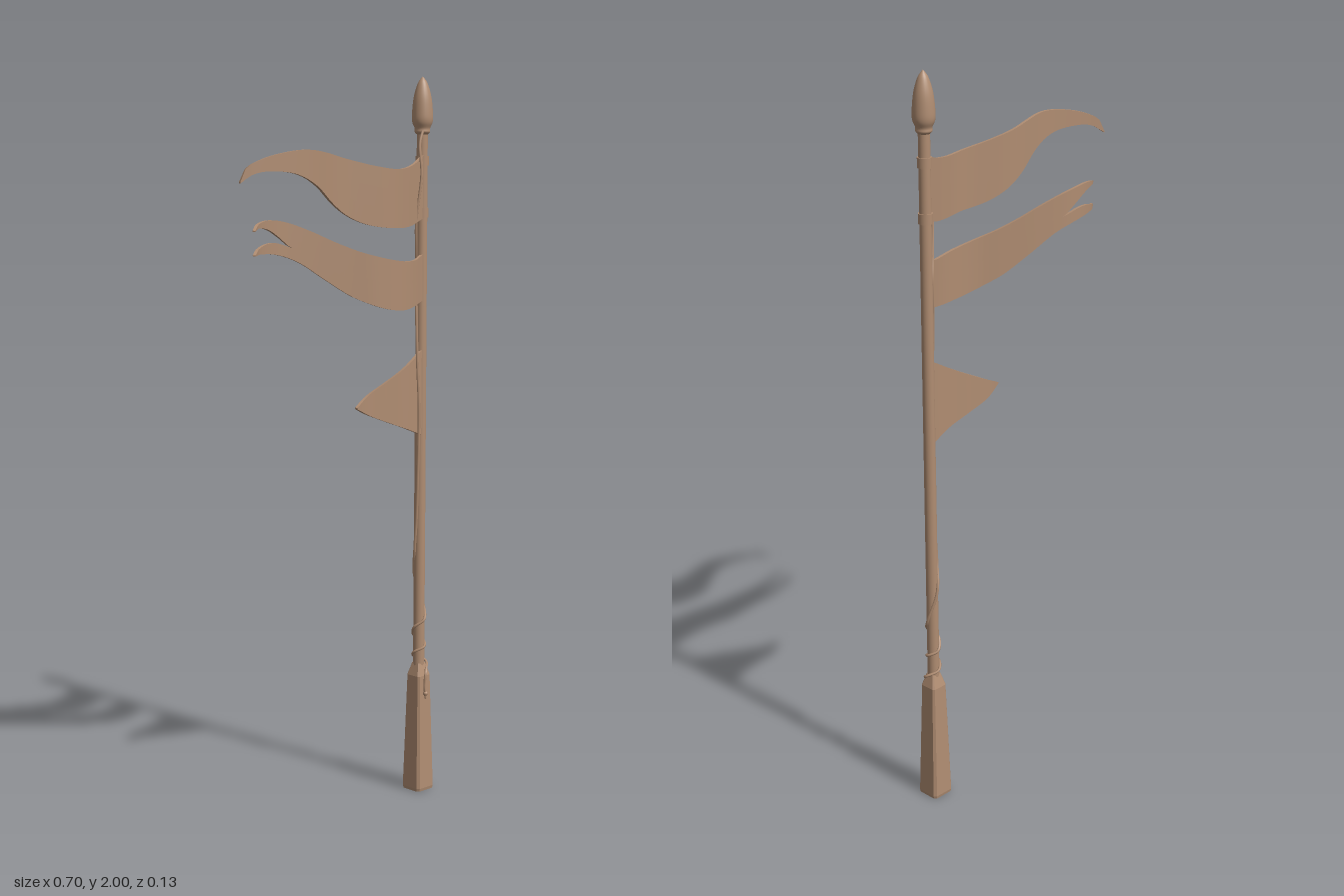
import * as THREE from 'three';
import { ConvexGeometry } from 'three/addons/geometries/ConvexGeometry.js';

const PX = 0.313, PZ = -0.004; // axis of the pole

// Smooth height curve through [x, value] points sorted by x
function at(pts, x) {
  let i = 0;
  while (i < pts.length - 2 && x > pts[i + 1][0]) i++;
  const slope = (k) => {
    const a = pts[Math.max(k - 1, 0)], b = pts[Math.min(k + 1, pts.length - 1)];
    return (b[1] - a[1]) / (b[0] - a[0]);
  };
  const [x0, y0] = pts[i], [x1, y1] = pts[i + 1];
  const d = x1 - x0, t = THREE.MathUtils.clamp((x - x0) / d, 0, 1), t2 = t * t, t3 = t2 * t;
  return (2 * t3 - 3 * t2 + 1) * y0 + (t3 - 2 * t2 + t) * d * slope(i)
    + (3 * t2 - 2 * t3) * y1 + (t3 - t2) * d * slope(i + 1);
}

// Thin cloth between a top and a bottom edge, waving in z along x
function cloth(top, bottom, wave, thickness = 0.008) {
  const geo = new THREE.BoxGeometry(1, 1, 1, 48, 3, 1), p = geo.attributes.position;
  const xa = top[0][0], xb = top[top.length - 1][0];
  for (let i = 0; i < p.count; i++) {
    const x = xa + (p.getX(i) + 0.5) * (xb - xa);
    const lo = at(bottom, x), hi = at(top, x);
    const s = (at(wave, x + 0.004) - at(wave, x - 0.004)) / 0.008, n = Math.hypot(1, s);
    const off = p.getZ(i) * thickness;
    p.setXYZ(i, x - off * s / n, lo + (p.getY(i) + 0.5) * (hi - lo), at(wave, x) + off / n);
  }
  geo.computeVertexNormals();
  return geo;
}

export function createModel() {
  const root = new THREE.Group();
  const mat = new THREE.MeshStandardMaterial({ color: 0xb08d72 });
  const add = (name, geo, parent = root) => {
    const m = new THREE.Mesh(geo, mat);
    m.name = name;
    parent.add(m);
    return m;
  };

  // Square tapered handle with chamfered corners
  const corners = [];
  for (const [y, h] of [[0, 0.032], [0.008, 0.0335], [0.335, 0.0245], [0.37, 0.014]])
    for (const sx of [-1, 1]) for (const sz of [-1, 1])
      for (const [a, b] of [[1, 0.8], [0.8, 1]])
        corners.push(new THREE.Vector3(PX + sx * h * a, y, PZ + sz * h * b));
  add('handle', new ConvexGeometry(corners));

  // Pole, collars and pointed finial
  add('pole', new THREE.CylinderGeometry(0.015, 0.016, 1.5, 20)).position.set(PX, 1.11, PZ);
  for (const y of [1.775, 1.635])
    add('collar', new THREE.CylinderGeometry(0.0185, 0.0185, 0.026, 20)).position.set(PX, y, PZ);
  const tip = new THREE.SplineCurve([[0.014, 1.845], [0.021, 1.852], [0.021, 1.862], [0.0275, 1.878],
    [0.0285, 1.9], [0.024, 1.945], [0.013, 1.982], [0, 2]].map(([x, y]) => new THREE.Vector2(x, y)));
  const profile = tip.getPoints(32).map((v) => v.setX(Math.max(v.x, 0)));
  profile.unshift(new THREE.Vector2(0, 1.845));
  add('finial', new THREE.LatheGeometry(profile, 24)).position.set(PX, 0, PZ);

  // Long upper pennant with a drooping point
  add('upperPennant', cloth(
    [[-0.35, 1.732], [-0.34, 1.76], [-0.31, 1.781], [-0.25, 1.8], [-0.17, 1.81], [-0.08, 1.801],
      [0, 1.783], [0.08, 1.765], [0.16, 1.756], [0.24, 1.766], [0.303, 1.79]],
    [[-0.35, 1.728], [-0.32, 1.749], [-0.28, 1.757], [-0.2, 1.75], [-0.12, 1.715], [-0.06, 1.673],
      [0, 1.635], [0.06, 1.612], [0.14, 1.602], [0.22, 1.603], [0.303, 1.62]],
    [[-0.35, 0.003], [-0.3, 0.022], [-0.17, 0.047], [-0.03, 0.027], [0.12, 0.06], [0.2, 0.044],
      [0.27, 0.018], [0.303, 0.005]]));

  // Swallow-tailed pennant: two strips that meet up to the notch
  const forked = new THREE.Group();
  forked.name = 'forkedPennant';
  root.add(forked);
  const wave = [[-0.295, -0.007], [-0.25, -0.041], [-0.17, -0.063], [-0.1, -0.05], [0.03, 0.002],
    [0.1, 0.033], [0.17, 0.045], [0.23, 0.034], [0.303, 0.005]];
  const middle = [[-0.124, 1.557], [-0.07, 1.543], [0, 1.505], [0.08, 1.47], [0.17, 1.448], [0.303, 1.457]];
  add('upperTail', cloth(
    [[-0.295, 1.609], [-0.25, 1.624], [-0.2, 1.63], [-0.14, 1.623], [-0.07, 1.598], [0, 1.565],
      [0.08, 1.534], [0.17, 1.514], [0.25, 1.51], [0.303, 1.522]],
    [[-0.295, 1.606], [-0.25, 1.612], [-0.2, 1.604], [-0.16, 1.583], ...middle], wave), forked);
  add('lowerTail', cloth(
    [[-0.295, 1.547], [-0.25, 1.561], [-0.21, 1.57], [-0.17, 1.57], ...middle],
    [[-0.295, 1.544], [-0.23, 1.545], [-0.16, 1.538], [-0.1, 1.516], [-0.03, 1.468], [0.04, 1.422],
      [0.12, 1.39], [0.2, 1.38], [0.303, 1.396]], wave), forked);

  // Small triangular pennant
  add('smallPennant', cloth(
    [[0.045, 1.127], [0.12, 1.163], [0.2, 1.203], [0.303, 1.26]],
    [[0.045, 1.123], [0.12, 1.092], [0.2, 1.062], [0.303, 1.025]],
    [[0.045, 0.015], [0.1, 0.002], [0.16, 0.008], [0.23, 0.015], [0.303, 0.005]]));

  // Cord hanging loosely beside the pole, then wound around its foot
  const cord = [[0.3, 1.855, 0.01], [0.285, 1.82, 0.014], [0.28, 1.74, 0.026], [0.267, 1.62, 0.02],
    [0.28, 1.53, 0.008], [0.293, 1.47, -0.004], [0.28, 1.36, 0.01], [0.276, 1.24, 0.018],
    [0.28, 1.1, 0.022], [0.283, 0.9, 0.016], [0.289, 0.78, 0.006]];
  // quarter turns: left side, back, right side, front
  const turns = [0.7, 0.62, 0.53, 0.497, 0.475, 0.445, 0.43, 0.418, 0.403, 0.385, 0.37, 0.345];
  turns.forEach((y, i) => {
    const a = Math.PI + i * Math.PI / 2, r = i < 10 ? 0.0195 : 0.028;
    cord.push([PX + r * Math.cos(a), y, PZ + r * Math.sin(a)]);
  });
  cord.push([0.308, 0.31, 0.025], [0.311, 0.27, 0.027]);
  const path = new THREE.CatmullRomCurve3(cord.map((c) => new THREE.Vector3(...c)), false, 'centripetal');
  add('cord', new THREE.TubeGeometry(path, 320, 0.0038, 7));
  add('cordKnot', new THREE.SphereGeometry(0.007, 10, 8)).position.set(0.31, 0.285, 0.026);

  return root;
}
